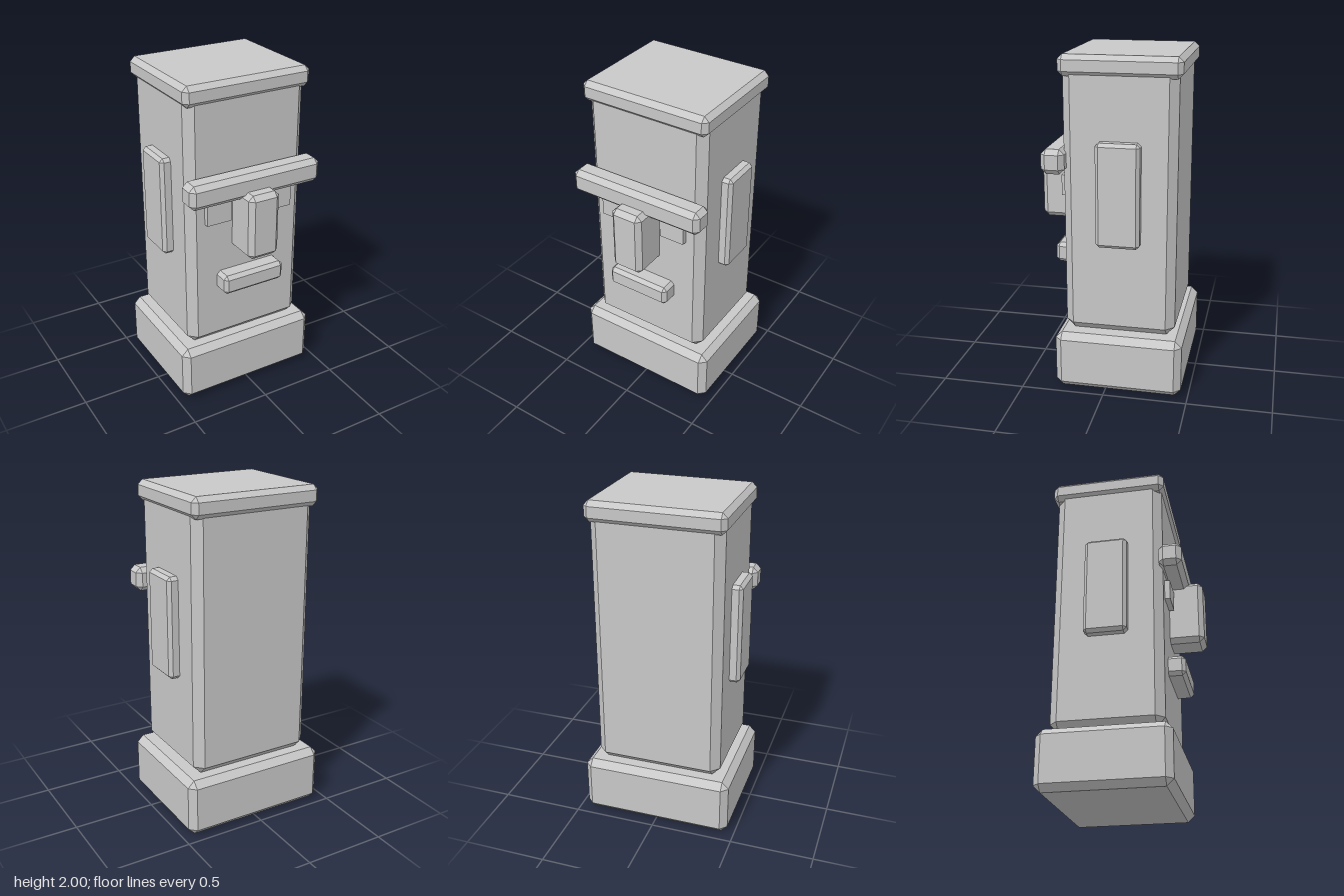
import * as THREE from 'three';
import { ConvexGeometry } from 'three/addons/geometries/ConvexGeometry.js';

const stone = new THREE.MeshStandardMaterial({ color: 0xc8c8c8 });
stone.name = 'light stone grey';

// Box between two corners, with every edge cut flat by c
function bevelledBox(name, [x0, y0, z0], [x1, y1, z1], c) {
  const half = [(x1 - x0) / 2, (y1 - y0) / 2, (z1 - z0) / 2];
  const points = [];
  for (const sx of [-1, 1]) for (const sy of [-1, 1]) for (const sz of [-1, 1]) {
    for (let outer = 0; outer < 3; outer++) {
      const p = [sx, sy, sz].map((s, i) => s * (half[i] - (i === outer ? 0 : c)));
      points.push(new THREE.Vector3(...p));
    }
  }
  const mesh = new THREE.Mesh(new ConvexGeometry(points), stone);
  mesh.position.set((x0 + x1) / 2, (y0 + y1) / 2, (z0 + z1) / 2);
  mesh.name = name;
  return mesh;
}

export function createModel() {
  const model = new THREE.Group();
  model.name = 'stoneHead';

  // Plinth, column and flat cap
  model.add(
    bevelledBox('base', [-0.457, 0, -0.457], [0.457, 0.355, 0.305], 0.04),
    bevelledBox('head', [-0.386, 0.357, -0.403], [0.386, 1.96, 0.253], 0.05),
    bevelledBox('cap', [-0.404, 1.878, -0.427], [0.404, 2, 0.272], 0.029),
  );

  // Face
  model.add(
    bevelledBox('brow', [-0.427, 1.324, 0.236], [0.427, 1.47, 0.374], 0.03),
    bevelledBox('nose', [-0.1, 0.968, 0.2], [0.1, 1.37, 0.457], 0.029),
    bevelledBox('mouth', [-0.203, 0.714, 0.2], [0.203, 0.836, 0.354], 0.022),
  );

  // Paired eyes and ears
  for (const side of [-1, 1]) {
    const label = side > 0 ? 'left' : 'right';
    const eye = new THREE.Mesh(new THREE.BoxGeometry(0.158, 0.122, 0.06), stone);
    eye.position.set(side * 0.203, 1.23, 0.255);
    eye.name = label + 'Eye';
    const ear = bevelledBox(label + 'Ear', [-0.055, 0.913, -0.203], [0.055, 1.525, 0.052], 0.02);
    ear.position.x = side * 0.393;
    model.add(eye, ear);
  }
  return model;
}
